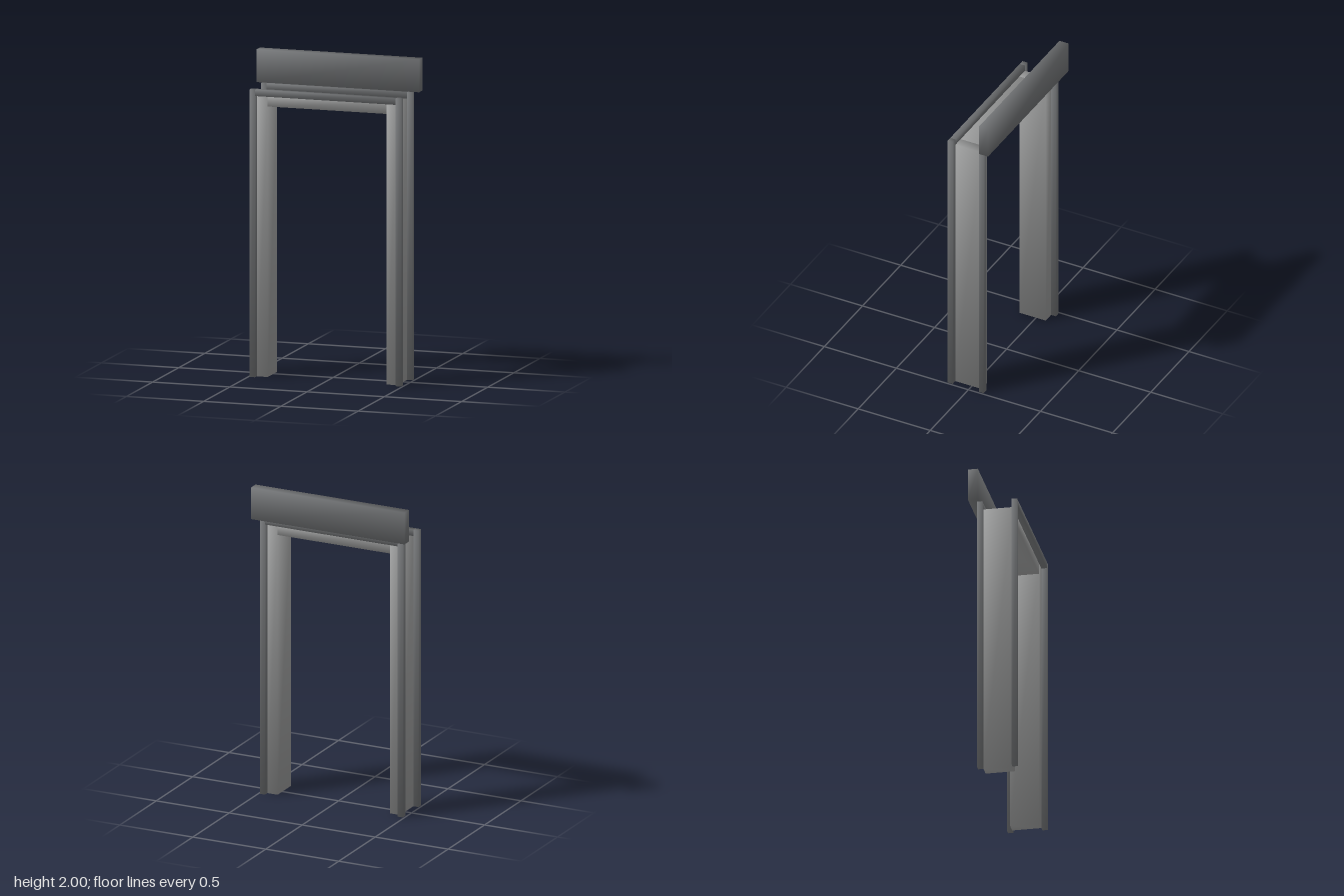
import * as THREE from 'three';

const frameMaterial = new THREE.MeshStandardMaterial({ color: 0x9a9b9b });
const trimMaterial = new THREE.MeshStandardMaterial({ color: 0x717375 });

// Box given by its lower and upper limits on each axis, with smooth normals:
// each corner's normal points diagonally outwards
function box(name, material, [x0, x1], [y0, y1], [z0, z1]) {
  const geometry = new THREE.BoxGeometry(x1 - x0, y1 - y0, z1 - z0);
  const { position, normal } = geometry.attributes;
  const s = 1 / Math.sqrt(3);
  for (let i = 0; i < position.count; i++) {
    normal.setXYZ(i,
      Math.sign(position.getX(i)) * s,
      Math.sign(position.getY(i)) * s,
      Math.sign(position.getZ(i)) * s);
  }
  const mesh = new THREE.Mesh(geometry, material);
  mesh.name = name;
  mesh.position.set((x0 + x1) / 2, (y0 + y1) / 2, (z0 + z1) / 2);
  return mesh;
}

export function createModel() {
  const group = new THREE.Group();
  group.name = 'doorFrame';

  const inner = 0.385, outer = 0.455, trimOuter = 0.49;
  const frameTop = 1.755, trimTop = 1.795;
  const frameZ = [-0.067, 0.115];
  const trims = { front: [0.115, 0.15], back: [-0.1, -0.067] };

  // Jambs and the header between them
  group.add(box('leftJamb', frameMaterial, [inner, outer], [0, frameTop], frameZ));
  group.add(box('rightJamb', frameMaterial, [-outer, -inner], [0, frameTop], frameZ));
  group.add(box('header', frameMaterial, [-inner, inner], [1.688, frameTop], frameZ));

  // Square trim strips around both faces of the frame
  for (const [side, z] of Object.entries(trims)) {
    group.add(box(side + 'LeftTrim', trimMaterial, [outer, trimOuter], [0, trimTop], z));
    group.add(box(side + 'RightTrim', trimMaterial, [-trimOuter, -outer], [0, trimTop], z));
    group.add(box(side + 'TopTrim', trimMaterial, [-outer, outer], [frameTop, trimTop], z));
  }

  // Lintel board above the back trim
  group.add(box('lintel', trimMaterial, [-0.526, 0.526], [trimTop, 2], [-0.15, -0.088]));

  return group;
}
